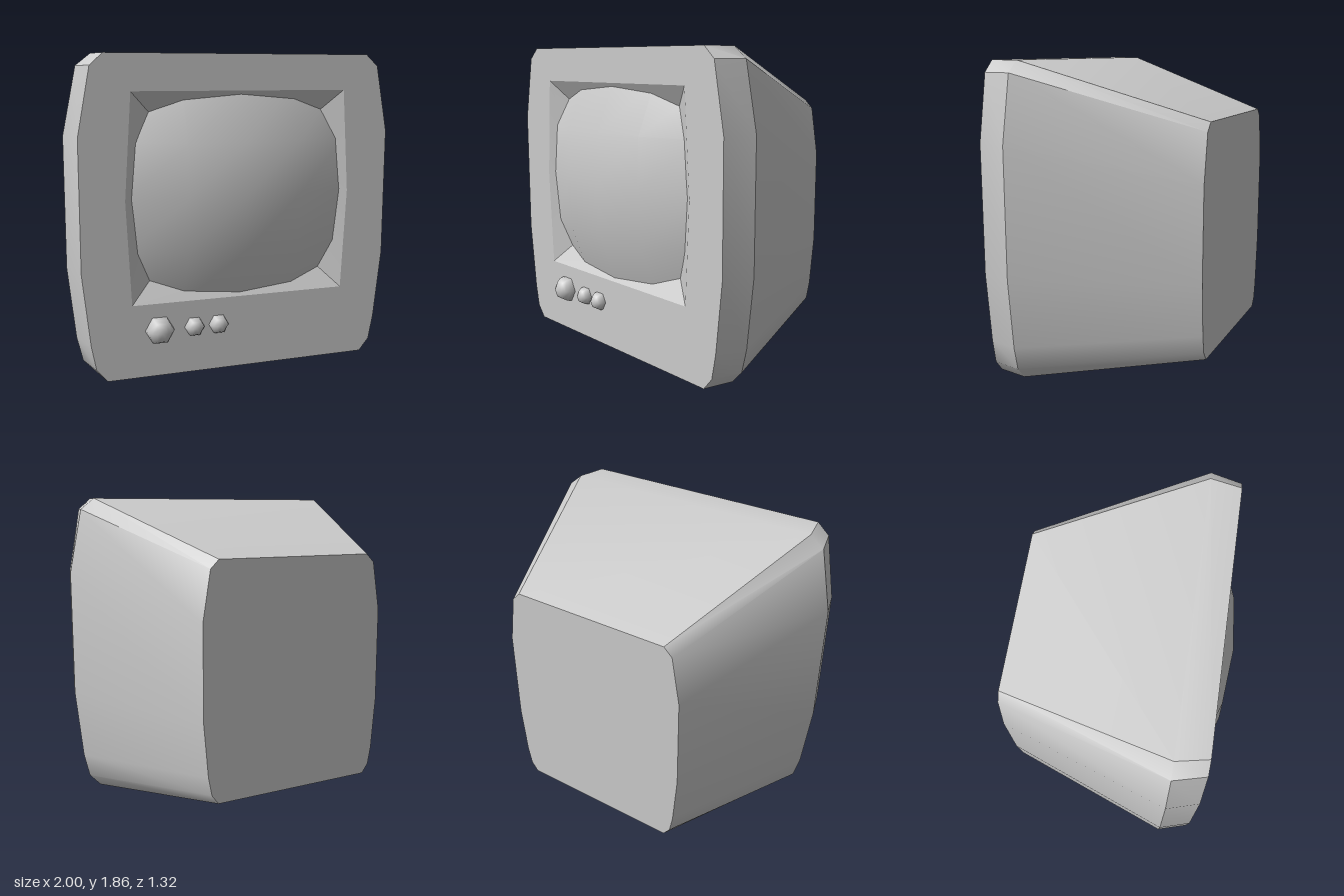
import * as THREE from 'three';
import { toCreasedNormals } from 'three/addons/utils/BufferGeometryUtils.js';

const FRONT_Z = 0.545, RIM_Z = 0.36, BACK_Z = -0.66;

// Mirrors a right-hand half outline (bottom to top) into a full counter-clockwise ring
const mirrorRing = half => [...half, ...[...half].reverse().map(([x, y]) => [-x, y])];

// Skin between rings of [x, y]; ordered front to back it faces outward
function loft(rings) {
  const pos = [];
  for (let r = 0; r < rings.length - 1; r++) {
    const a = rings[r], b = rings[r + 1], n = a.points.length;
    for (let i = 0; i < n; i++) {
      const j = (i + 1) % n;
      const A = [...a.points[i], a.z], B = [...a.points[j], a.z];
      const C = [...b.points[i], b.z], D = [...b.points[j], b.z];
      pos.push(...A, ...C, ...B, ...B, ...C, ...D);
    }
  }
  const geo = new THREE.BufferGeometry();
  geo.setAttribute('position', new THREE.Float32BufferAttribute(pos, 3));
  return toCreasedNormals(geo, 0.6);
}

const toShape = ring => new THREE.Shape(ring.map(([x, y]) => new THREE.Vector2(x, y)));

export function createModel() {
  const model = new THREE.Group();
  model.name = 'television';
  const material = new THREE.MeshStandardMaterial({ color: 0xcccccc });
  const add = (name, geometry, x = 0, y = 0, z = 0) => {
    const mesh = new THREE.Mesh(geometry, material);
    mesh.name = name;
    mesh.position.set(x, y, z);
    model.add(mesh);
    return mesh;
  };

  // Cabinet outlines: widest rim, narrower face, tapered back
  const rimHalf = [[0.85, 0], [0.92, 0.075], [0.955, 0.22], [1, 0.64], [1, 1.4], [0.92, 1.79], [0.834, 1.858]];
  const faceX = [0.81, 0.872, 0.9, 0.945, 0.945, 0.872, 0.797];
  const rim = mirrorRing(rimHalf);
  const face = mirrorRing(rimHalf.map(([, y], i) => [faceX[i], y]));
  const back = rim.map(([x, y]) => [x * 0.605, 0.15 + y * 0.741]);

  add('cabinetShell', loft([
    { points: face, z: FRONT_Z }, { points: rim, z: RIM_Z }, { points: back, z: BACK_Z },
  ]));
  add('backPanel', new THREE.ShapeGeometry(toShape(back)).rotateY(Math.PI), 0, 0, BACK_Z);

  // Front face with the screen opening
  const openingHalf = [[0.66, 0.435], [0.69, 1.04], [0.65, 1.65]];
  const opening = mirrorRing(openingHalf);
  const faceShape = toShape(face);
  faceShape.holes.push(toShape(opening));
  add('frontPanel', new THREE.ShapeGeometry(faceShape), 0, 0, FRONT_Z);

  // Sloping walls of the recess
  const inset = 0.2;
  const inner = mirrorRing(openingHalf.map(([x, y], i) => [x - inset, y + inset * (1 - i)]));
  add('screenRecess', loft([
    { points: inner, z: FRONT_Z - 0.6 * inset }, { points: opening, z: FRONT_Z },
  ]));

  // Bulging screen: depth drops by column and by row
  const columns = [[-0.69, 0.149], [-0.34, 0.03], [0, 0], [0.34, 0.03], [0.69, 0.149]];
  const rows = [[0.62, 0.139], [0.31, 0.015], [0, 0], [-0.32, 0.02], [-0.63, 0.136]];
  const screen = new THREE.PlaneGeometry(1, 1, 4, 4);
  const p = screen.attributes.position;
  for (let i = 0; i < p.count; i++) {
    const [x, dropX] = columns[i % 5], [y, dropY] = rows[Math.floor(i / 5)];
    p.setXYZ(i, x, y, -dropX - dropY);
  }
  screen.computeVertexNormals();
  add('screen', screen, 0, 1.05, 0.655);

  // Control knobs
  [['largeKnob', -0.5, 0.086], ['smallKnob1', -0.29, 0.06], ['smallKnob2', -0.14, 0.06]].forEach(([name, x, r]) => {
    add(name, new THREE.SphereGeometry(r, 6, 8).rotateX(Math.PI / 2), x, 0.277, FRONT_Z);
  });

  return model;
}
